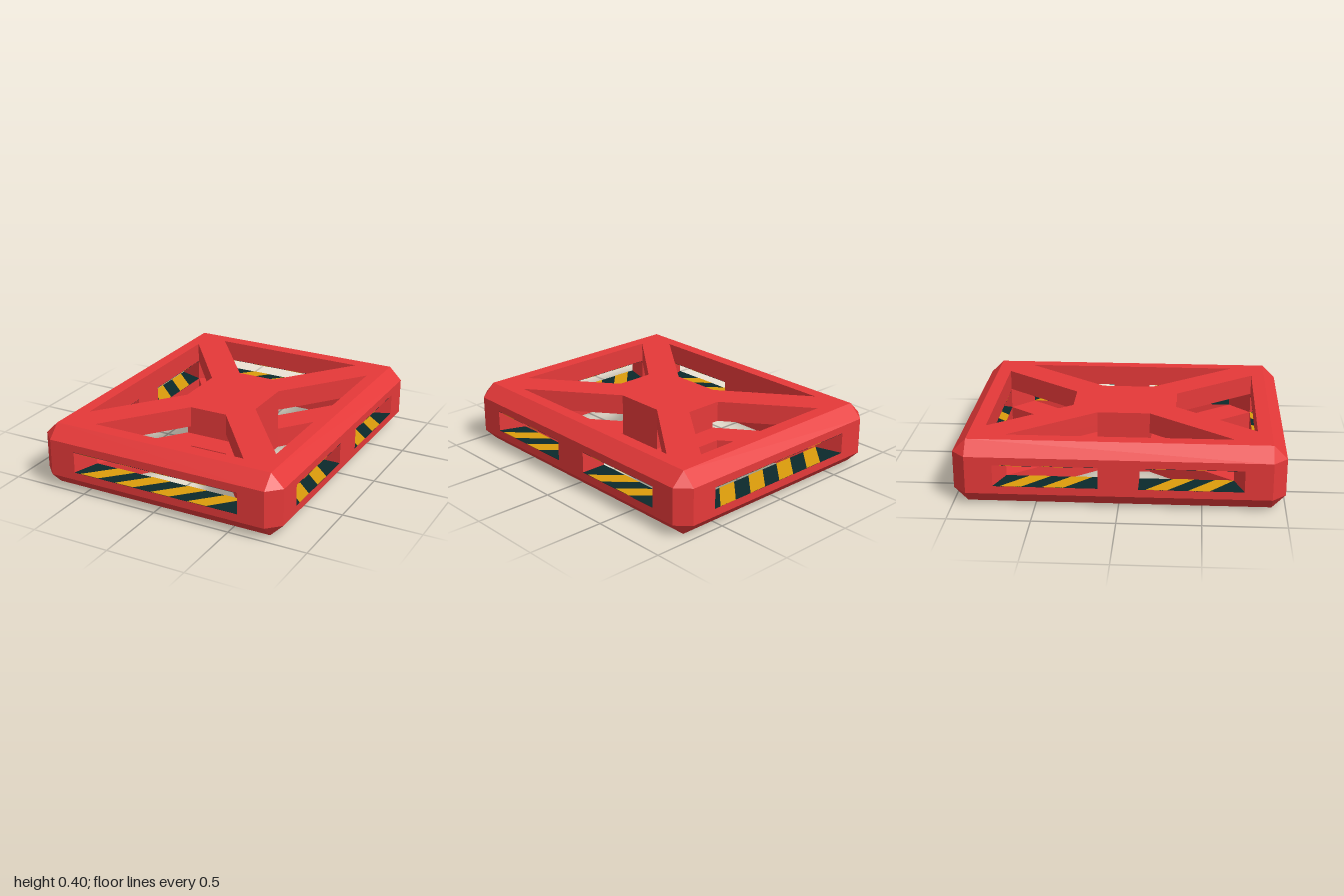
import * as THREE from 'three';

const red = new THREE.MeshStandardMaterial({ name: 'red paint', color: 0xe53939 });
const yellow = new THREE.MeshStandardMaterial({ name: 'hazard yellow', color: 0xdb9c0c });
const dark = new THREE.MeshStandardMaterial({ name: 'hazard dark', color: 0x0b2a2c });

const W = 0.813, L = 1, H = 0.4, C = 0.083; // half width, half length, height, chamfer
const IX = 0.65, IZ = 0.83;                 // inner edges of the rails
const Y0 = 0.132, Y1 = 0.268;               // floor and ceiling of the slots

// Extrudes a plan outline of [x, z] points from y0 up to y1
const toPoints = (pts) => pts.map(([x, z]) => new THREE.Vector2(x, -z));
function prism(pts, y0, y1, holes = []) {
  const shape = new THREE.Shape(toPoints(pts));
  shape.holes = holes.map((h) => new THREE.Path(toPoints(h)));
  const g = new THREE.ExtrudeGeometry(shape, { depth: y1 - y0, bevelEnabled: false });
  g.rotateX(-Math.PI / 2);
  g.translate(0, y0, 0);
  return g;
}

function add(parent, name, geometry, material) {
  const mesh = new THREE.Mesh(geometry, material);
  mesh.name = name;
  parent.add(mesh);
}

// Rim with cut corners (counter-clockwise from above, so the hole walls face inward)
const rim = [
  [W, C - L], [W - C, -L], [C - W, -L], [-W, C - L],
  [-W, L - C], [C - W, L], [W - C, L], [W, L - C],
];
// Four openings that leave an X brace
const endHole = (s) => [[-0.51, s * IZ], [0.51, s * IZ], [0.125, s * 0.33], [-0.125, s * 0.33]];
const sideHole = (s) => [[s * IX, -0.69], [s * IX, 0.69], [s * 0.248, 0.165], [s * 0.248, -0.165]];
const openings = [endHole(1), endHole(-1), sideHole(1), sideHole(-1)];

// One X-braced frame: a straight slab and a cap whose outer edge is drawn in as a chamfer
function frame(name) {
  const group = new THREE.Group();
  group.name = name;
  add(group, 'frameSlab', prism(rim, Y1, H - C, openings), red);
  const cap = prism(rim, H - C, H, openings);
  const p = cap.attributes.position;
  for (let i = 0; i < p.count; i++) {
    if (p.getY(i) < H - 0.01) continue;
    p.setX(i, THREE.MathUtils.clamp(p.getX(i), C - W, W - C));
    p.setZ(i, THREE.MathUtils.clamp(p.getZ(i), C - L, L - C));
  }
  cap.computeVertexNormals();
  add(group, 'chamferedCap', cap, red);
  return group;
}

// Hazard plates on the floor and ceiling of a slot; place(t, inner) gives a plan point,
// slant is how far the stripes lean along the slot at its outer edge
function hazard(name, outer, inner, count, slant, place) {
  const group = new THREE.Group();
  group.name = name;
  const mid = (outer[0] + outer[1]) / 2;
  const width = (outer[1] - outer[0]) / count;
  const out = (t) => place(THREE.MathUtils.clamp(t + slant, ...outer), false);
  const inn = (t) => place(THREE.MathUtils.clamp(t - slant, ...inner), true);
  const base = [
    place(outer[0], false), place(outer[1], false),
    place(inner[1], true), place(inner[0], true),
  ];
  add(group, 'darkFloorPlate', prism(base, Y0, Y0 + 0.0015), dark);
  add(group, 'darkCeilingPlate', prism(base, Y1 - 0.0015, Y1), dark);
  for (let i = 1; i < count; i += 2) {
    const a = mid + (i - count / 2) * width, b = a + width;
    const stripe = [out(a), out(b), inn(b), inn(a)];
    add(group, 'yellowFloorStripe', prism(stripe, Y0, Y0 + 0.003), yellow);
    add(group, 'yellowCeilingStripe', prism(stripe, Y1 - 0.003, Y1), yellow);
  }
  return group;
}

export function createModel() {
  const model = new THREE.Group();
  model.name = 'pallet';

  // Upper and lower frames
  model.add(frame('upperFrame'));
  const lower = frame('lowerFrame');
  lower.rotation.x = Math.PI;
  lower.position.y = H;
  model.add(lower);

  // Centre post, corner columns and side blocks between the frames
  const post = [[0.248, 0.165], [0.248, -0.165], [-0.248, -0.165], [-0.248, 0.165]];
  add(model, 'centrePost', prism(post, Y0, Y1), red);
  const corner = [[0.56, L], [W - C, L], [W, L - C], [W, 0.75], [IX, 0.69], [0.51, IZ]];
  for (const sx of [1, -1]) {
    for (const sz of [1, -1]) {
      add(model, 'cornerColumn', prism(corner.map(([x, z]) => [sx * x, sz * z]), Y0, Y1), red);
    }
    const block = [[sx * IX, -0.12], [sx * W, -0.12], [sx * W, 0.12], [sx * IX, 0.12]];
    add(model, 'sideBlock', prism(block, Y0, Y1), red);
  }

  // Striped slots, repeated by a half turn for the opposite sides
  const onEnd = (t, inner) => [t, inner ? IZ : L];
  const onSide = (t, inner) => [inner ? IX : W, t];
  for (const turn of [0, Math.PI]) {
    const slots = new THREE.Group();
    slots.name = turn ? 'backAndRightStripes' : 'frontAndLeftStripes';
    slots.add(hazard('endSlotStripes', [-0.56, 0.56], [-0.51, 0.51], 9, -0.08, onEnd));
    slots.add(hazard('sideSlotStripes', [0.12, 0.75], [0.12, 0.69], 5, 0.08, onSide));
    slots.add(hazard('sideSlotStripes', [-0.75, -0.12], [-0.69, -0.12], 5, 0.08, onSide));
    slots.rotation.y = turn;
    model.add(slots);
  }
  return model;
}
